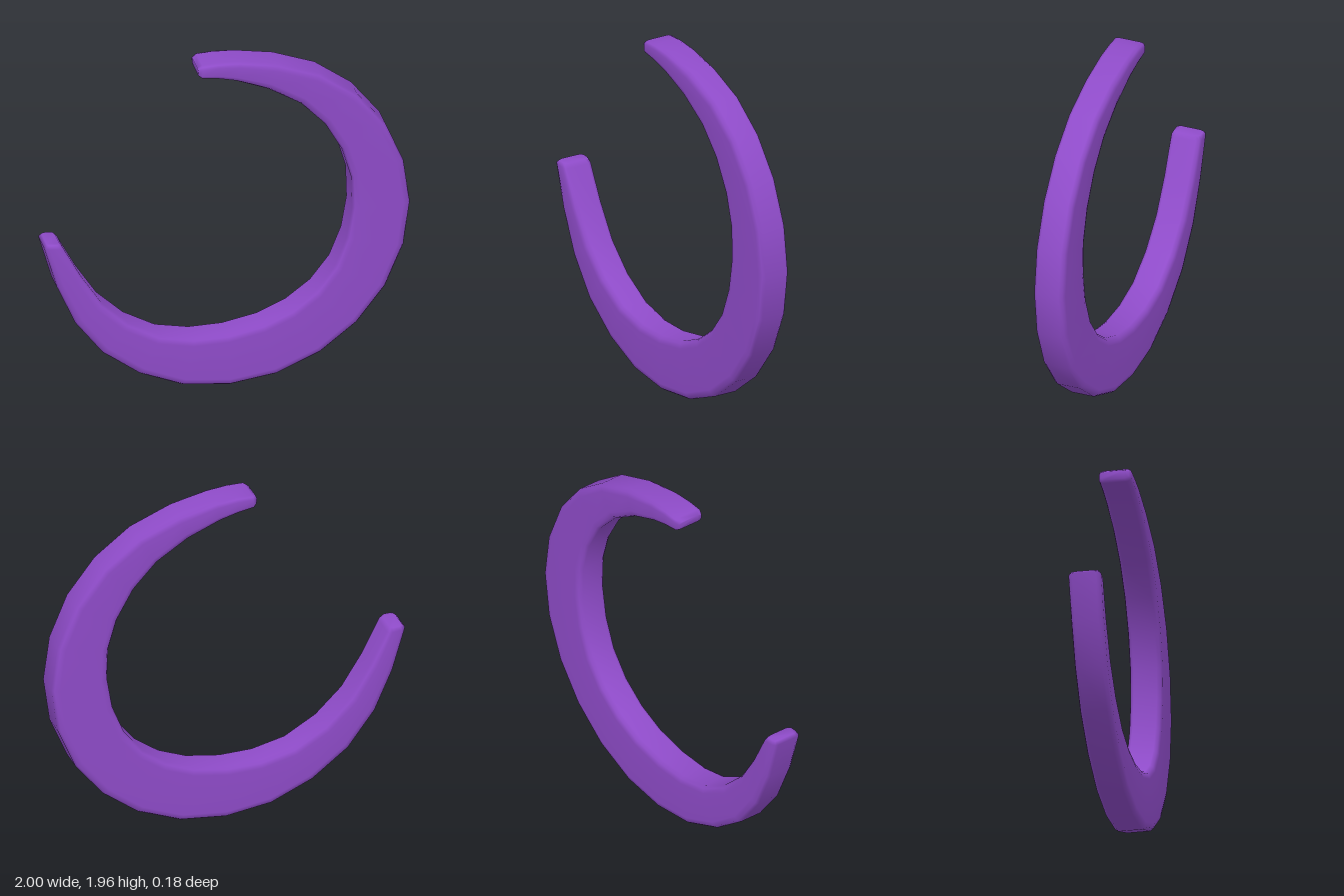
import * as THREE from 'three';

// Stations along the crescent: outer x, outer y, inner x, inner y, depth scale
const STATIONS = [
  [-0.16, 1.945, -0.155, 1.9, 0.87],
  [-0.135, 1.962, -0.14, 1.887, 1],
  [-0.05, 1.967, -0.05, 1.872, 1],
  [0.07, 1.96, 0.05, 1.845, 1],
  [0.28, 1.92, 0.23, 1.77, 1],
  [0.51, 1.83, 0.405, 1.66, 1],
  [0.71, 1.68, 0.535, 1.52, 1],
  [0.865, 1.48, 0.63, 1.35, 1],
  [0.965, 1.24, 0.68, 1.175, 1],
  [1.0, 0.985, 0.685, 0.99, 1],
  [0.965, 0.73, 0.655, 0.81, 1],
  [0.865, 0.49, 0.59, 0.645, 1],
  [0.71, 0.29, 0.485, 0.51, 1],
  [0.51, 0.135, 0.35, 0.41, 1],
  [0.27, 0.035, 0.195, 0.345, 1],
  [0.015, 0.003, 0.005, 0.31, 1],
  [-0.24, 0.035, -0.18, 0.31, 1],
  [-0.475, 0.135, -0.365, 0.35, 1],
  [-0.68, 0.29, -0.54, 0.45, 1],
  [-0.83, 0.49, -0.685, 0.59, 1],
  [-0.93, 0.72, -0.8, 0.77, 1],
  [-1.0, 0.967, -0.898, 0.957, 1],
  [-0.985, 0.983, -0.915, 0.98, 0.87],
];

// Rounded rectangle section: distance inward from the outer rim, and z
function section(width, half) {
  const b = Math.min(0.04, width * 0.25), c = 0.025;
  const quarter = [[0, half - c], [b * 0.3, half - c * 0.3], [b, half]];
  const front = [...quarter, ...quarter.map(([s, z]) => [width - s, z]).reverse()];
  return [...front, ...front.map(([s, z]) => [s, -z]).reverse()];
}

function crescentGeometry() {
  const positions = [], index = [];
  let n = 0;
  for (const [ox, oy, ix, iy, depth] of STATIONS) {
    const width = Math.hypot(ix - ox, iy - oy);
    const ring = section(width, 0.088 * depth);
    n = ring.length;
    for (const [s, z] of ring) {
      const t = s / width;
      positions.push(ox + (ix - ox) * t, oy + (iy - oy) * t, z);
    }
  }
  // Skin between neighbouring sections
  const last = STATIONS.length - 1;
  for (let i = 0; i < last; i++) {
    for (let j = 0; j < n; j++) {
      const a = i * n + j, b = i * n + (j + 1) % n;
      index.push(a, b, a + n, b, b + n, a + n);
    }
  }
  // Blunt tips
  for (let j = 1; j < n - 1; j++) {
    index.push(0, j + 1, j);
    index.push(last * n, last * n + j, last * n + j + 1);
  }
  const geometry = new THREE.BufferGeometry();
  geometry.setAttribute('position', new THREE.Float32BufferAttribute(positions, 3));
  geometry.setIndex(index);
  geometry.computeVertexNormals();
  return geometry;
}

export function createModel() {
  const purple = new THREE.MeshStandardMaterial({ color: 0x8e4bc8 });
  purple.name = 'purple';
  const crescent = new THREE.Mesh(crescentGeometry(), purple);
  crescent.name = 'crescent';
  const group = new THREE.Group();
  group.name = 'crescentRing';
  group.add(crescent);
  return group;
}
